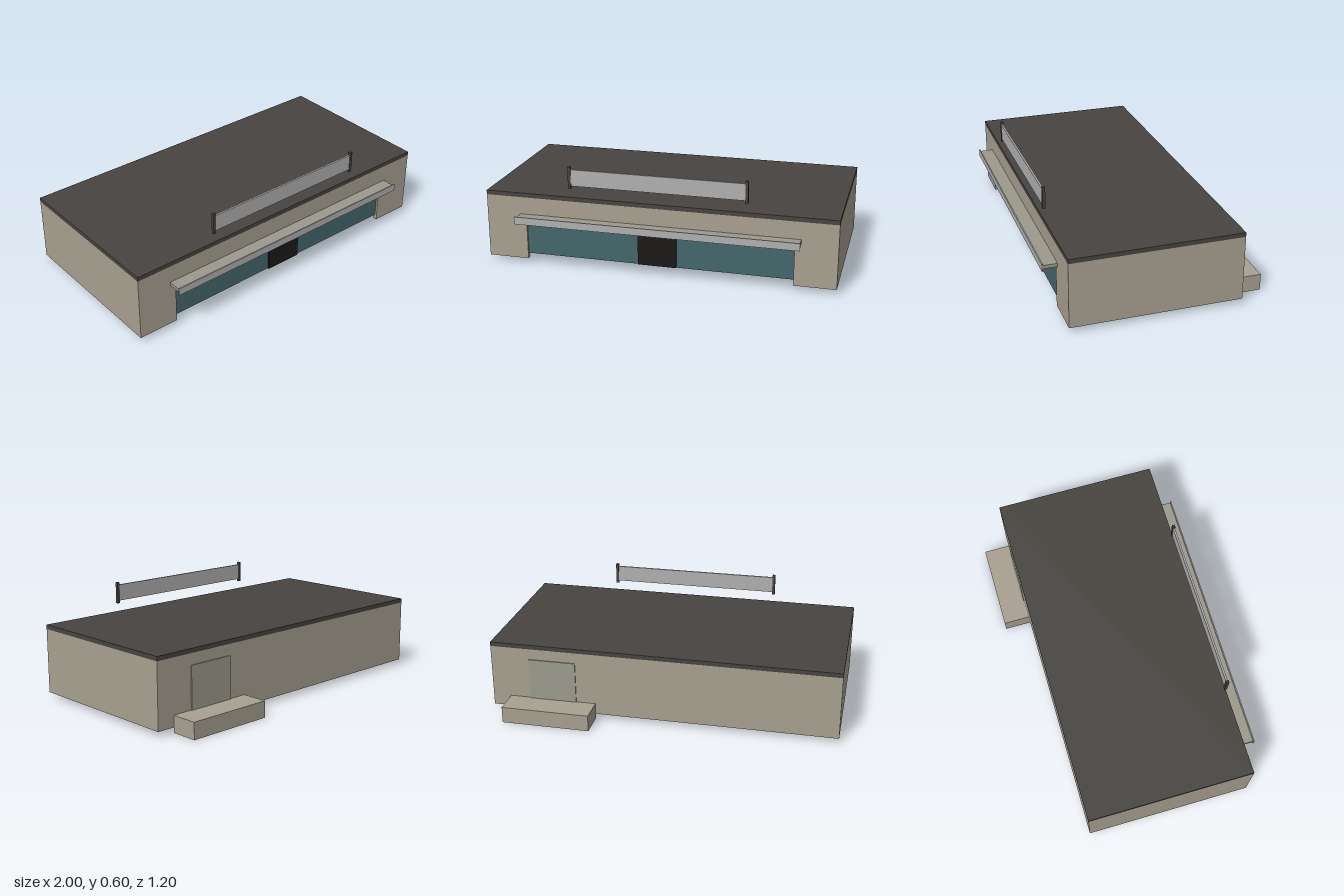
import * as THREE from 'three';

const material = (color) => new THREE.MeshStandardMaterial({ color, side: THREE.DoubleSide });
const stone = material(0xa8a191);
const roofing = material(0x474440);
const glass = material(0x44676d);
const black = material(0x1c1917);
const steel = material(0xb0b0b0);
const soffit = material(0x9c998c);
const shutter = material(0x9c9c8e);

// Box given by its lower and upper corners
function box(name, mat, [x0, y0, z0], [x1, y1, z1]) {
  const geometry = new THREE.BoxGeometry(x1 - x0, y1 - y0, z1 - z0);
  const mesh = new THREE.Mesh(geometry, mat);
  mesh.position.set((x0 + x1) / 2, (y0 + y1) / 2, (z0 + z1) / 2);
  mesh.name = name;
  return mesh;
}

export function createModel() {
  const model = new THREE.Group();
  model.name = 'storeBuilding';

  const back = -0.445, front = 0.515, base = 0.03, eave = 0.4, wall = 0.025;
  const openX = 0.765, openTop = 0.28;

  // Walls of the open-bottomed shell
  model.add(box('backWall', stone, [-1, base, back], [1, eave, back + wall]));
  for (const s of [-1, 1]) {
    const x = s * (1 - wall / 2);
    model.add(box(s < 0 ? 'rightWall' : 'leftWall', stone,
      [x - wall / 2, base, back + wall], [x + wall / 2, eave, front - wall]));
  }

  // Front wall: two piers joined by a lintel
  const outline = new THREE.Shape([
    [-1, base], [-openX, base], [-openX, openTop], [openX, openTop],
    [openX, base], [1, base], [1, eave], [-1, eave],
  ].map(([x, y]) => new THREE.Vector2(x, y)));
  const frontWall = new THREE.Mesh(
    new THREE.ExtrudeGeometry(outline, { depth: wall, bevelEnabled: false }), stone);
  frontWall.position.z = front - wall;
  frontWall.name = 'frontWall';
  model.add(frontWall);

  model.add(box('roof', roofing, [-1, eave, back], [1, 0.425, front]));

  // Shop front
  model.add(box('shopWindow', glass, [-openX, 0.06, 0.495], [openX, openTop, 0.503]));
  model.add(box('entranceDoor', black, [-0.11, 0.06, 0.503], [0.11, 0.25, 0.511]));

  // Canopy with a front fascia
  model.add(box('canopy', soffit, [-0.8, 0.28, front], [0.8, 0.3, 0.593]));
  model.add(box('canopyFascia', steel, [-0.805, 0.267, 0.593], [0.805, 0.31, 0.6]));

  // Sign board floating above the roof edge, with end posts
  model.add(box('signPanel', steel, [-0.493, 0.49, 0.5], [0.493, 0.585, 0.511]));
  for (const x of [-0.5, 0.5]) {
    model.add(box('signPost', roofing, [x - 0.008, 0.475, 0.497], [x + 0.008, 0.6, 0.514]));
  }

  // Loading dock (hollow underneath) and its shutter
  const dock = box('loadingDock', stone, [0.387, 0, -0.6], [0.895, 0.095, back]);
  const faces = Array.from(dock.geometry.index.array);
  faces.splice(18, 6); // drop the bottom face
  dock.geometry.setIndex(faces);
  dock.geometry.clearGroups();
  model.add(dock);
  model.add(box('loadingShutter', shutter, [0.5, 0.095, -0.451], [0.775, 0.337, back]));

  return model;
}
